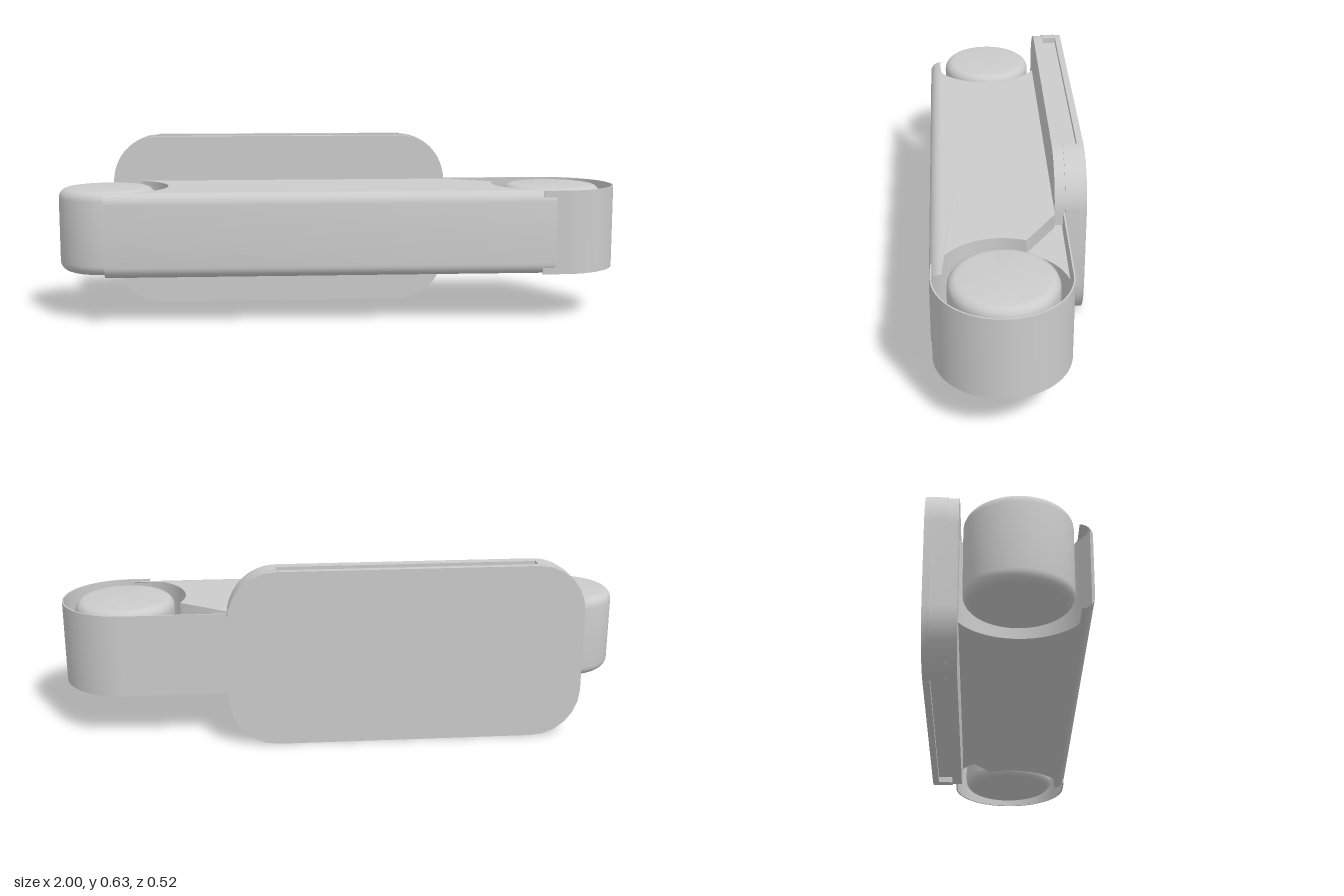
import * as THREE from 'three';
import { toCreasedNormals } from 'three/addons/utils/BufferGeometryUtils.js';

const material = new THREE.MeshStandardMaterial({ color: 0xcccccc, side: THREE.DoubleSide });
const Y0 = 0.168, Y1 = 0.463, H = Y1 - Y0;      // height range of the arm
const CZ = 0.034, LEFT_X = -0.83, RIGHT_X = 0.775; // roller axes

function addMesh(group, name, geometry) {
  const mesh = new THREE.Mesh(geometry, material);
  mesh.name = name;
  group.add(mesh);
  return mesh;
}

// Points of an arc in plan, as (x, z)
function arc(cx, r, from, to, n = 28) {
  return Array.from({ length: n + 1 }, (_, i) => {
    const a = THREE.MathUtils.degToRad(from + (to - from) * i / n);
    return new THREE.Vector2(cx + r * Math.cos(a), CZ + r * Math.sin(a));
  });
}

// Upright prism from a plan outline given as (x, z)
function prism(points, y, height, steps = 1) {
  const shape = new THREE.Shape(points.map(p => new THREE.Vector2(p.x, -p.y)));
  const g = new THREE.ExtrudeGeometry(shape, { depth: height, steps, bevelEnabled: false });
  return g.rotateX(-Math.PI / 2).translate(0, y, 0);
}

// Arm body: concave ends, with rounded long edges on the front
function bodyGeometry() {
  const v = (x, z) => new THREE.Vector2(x, z);
  const g = prism([
    v(-0.82, 0.26),
    ...arc(LEFT_X, 0.217, 87, -60),
    v(0.42, -0.155),
    ...arc(RIGHT_X, 0.217, 203, 95),
    v(0.74, 0.26),
  ], 0, 1, 14);
  const p = g.attributes.position, r = 0.04, front = 0.26;
  for (let i = 0; i < p.count; i++) {
    const k = Math.round(p.getY(i) * 14);
    const fromEnd = Math.min(k, 14 - k);               // 0 at the caps
    const a = Math.min(fromEnd / 6, 1) * Math.PI / 2;
    const inset = fromEnd > 6 ? H / 2 : r * (1 - Math.cos(a));
    p.setY(i, k < 7 ? Y0 + inset : Y1 - inset);
    p.setZ(i, Math.min(p.getZ(i), front - r * (1 - Math.sin(a))));
  }
  return toCreasedNormals(g, 0.6);
}

// Cylinder with rounded rims
function rollerGeometry(radius) {
  const r = 0.035, pts = [new THREE.Vector2(0, Y0)];
  for (const [cy, start] of [[Y0 + r, -90], [Y1 - r, 0]]) {
    for (let i = 0; i <= 6; i++) {
      const a = THREE.MathUtils.degToRad(start + i * 15);
      pts.push(new THREE.Vector2(radius - r + r * Math.cos(a), cy + r * Math.sin(a)));
    }
  }
  pts.push(new THREE.Vector2(0, Y1));
  return toCreasedNormals(new THREE.LatheGeometry(pts, 56), 0.5);
}

// Rounded slab in the xy plane; notch cuts shallow slots along top and bottom
function slab(z, depth, segments, inset = 0, notch = 0) {
  const x0 = -0.83 + inset, x1 = 0.41 - inset, y0 = inset, y1 = 0.63 - inset, r = 0.17;
  const s = new THREE.Shape();
  s.moveTo(x0 + r, y0);
  if (notch) s.lineTo(x0 + r, y0 + notch).lineTo(x1 - r, y0 + notch);
  s.lineTo(x1 - r, y0);
  s.absarc(x1 - r, y0 + r, r, -Math.PI / 2, 0);
  s.absarc(x1 - r, y1 - r, r, 0, Math.PI / 2);
  if (notch) s.lineTo(x1 - r, y1 - notch).lineTo(x0 + r, y1 - notch);
  s.lineTo(x0 + r, y1);
  s.absarc(x0 + r, y1 - r, r, Math.PI / 2, Math.PI);
  s.absarc(x0 + r, y0 + r, r, Math.PI, Math.PI * 1.5);
  const g = new THREE.ExtrudeGeometry(s, { depth, curveSegments: segments, bevelEnabled: false });
  return toCreasedNormals(g.translate(0, 0, z), 0.5);
}

export function createModel() {
  const model = new THREE.Group();
  model.name = 'armLink';

  addMesh(model, 'armBody', bodyGeometry());

  // Recessed web between the body's cut corner and the band
  addMesh(model, 'cornerWeb', prism([
    new THREE.Vector2(0.40, -0.18),
    new THREE.Vector2(0.40, -0.10),
    new THREE.Vector2(0.56, -0.04),
    ...arc(RIGHT_X, 0.217, 203, 258, 10),
  ].map(p => new THREE.Vector2(p.x, Math.max(p.y, -0.182))), Y0 + 0.05, H - 0.1));

  // Thin band along the back and around the right-hand roller
  const band = (r) => [
    new THREE.Vector2(0.70, CZ + r),
    ...arc(RIGHT_X, r, 90, -90, 48),
    new THREE.Vector2(-0.82, CZ - r),
  ];
  addMesh(model, 'band', toCreasedNormals(
    prism([...band(0.222), ...band(0.217).reverse()], Y0, H), 0.5));

  // Rollers
  for (const [name, x, r] of [['outerRoller', LEFT_X, 0.17], ['innerRoller', RIGHT_X, 0.176]]) {
    addMesh(model, name, rollerGeometry(r)).position.set(x, 0, CZ - 0.004);
  }

  // Back plate: front and back skins around a slotted core
  const plate = new THREE.Group();
  plate.name = 'backPlate';
  model.add(plate);
  addMesh(plate, 'plateFront', slab(-0.19, 0.035, 14, 0.003));
  addMesh(plate, 'plateCore', slab(-0.24, 0.05, 14, 0, 0.02));
  addMesh(plate, 'plateBack', slab(-0.262, 0.022, 3));

  return model;
}
